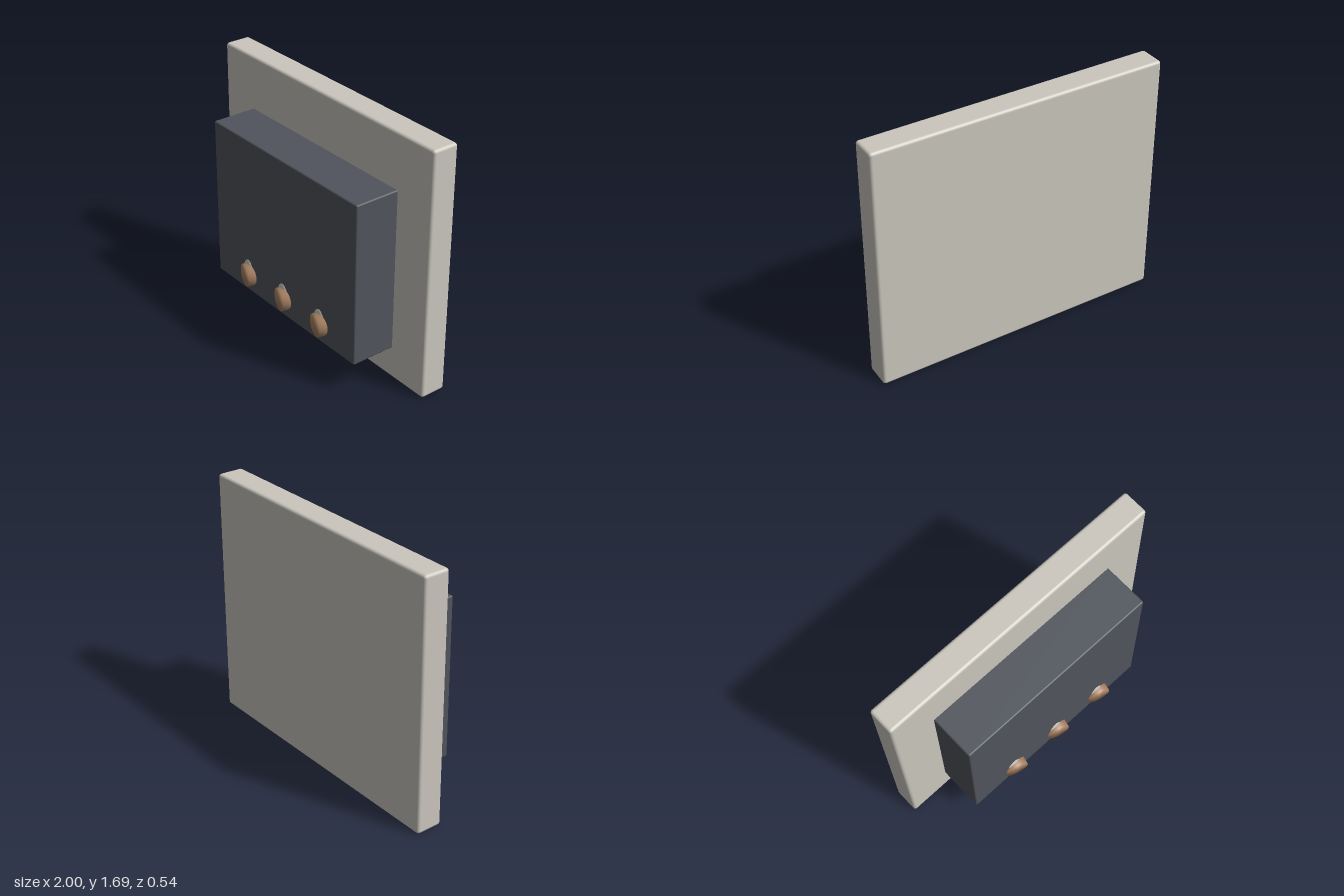
import * as THREE from 'three';
import { RoundedBoxGeometry } from 'three/addons/geometries/RoundedBoxGeometry.js';
import { mergeVertices } from 'three/addons/utils/BufferGeometryUtils.js';

const paint = (name, color) => {
  const m = new THREE.MeshStandardMaterial({ color });
  m.name = name;
  return m;
};

export function createModel() {
  const model = new THREE.Group();
  const stone = paint('warm grey', 0xcbc7be);
  const slate = paint('slate', 0x50545c);
  const copper = paint('copper brown', 0xa88262);

  const add = (name, geometry, material, x, y, z) => {
    const mesh = new THREE.Mesh(geometry, material);
    mesh.name = name;
    mesh.position.set(x, y, z);
    model.add(mesh);
    return mesh;
  };

  // Wall plate and the raised housing in front of it
  add('backPlate', new RoundedBoxGeometry(2, 1.69, 0.18, 3, 0.02), stone, 0, 0.845, -0.18);
  add('housing', new RoundedBoxGeometry(1.42, 1.104, 0.325, 2, 0.01), slate, 0, 0.772, 0.053);

  // Knob: a short disc with normals blended over its rim
  let knob = new THREE.CylinderGeometry(0.077, 0.077, 0.09, 32);
  knob.rotateX(Math.PI / 2);
  knob.deleteAttribute('normal');
  knob.deleteAttribute('uv');
  knob = mergeVertices(knob);
  knob.computeVertexNormals();

  // Pointer: a flattened bead rising behind each knob
  const pointer = new THREE.SphereGeometry(1, 24, 16);
  pointer.scale(0.056, 0.1, 0.022);

  for (const x of [-0.37, 0, 0.37]) {
    add('knob', knob, copper, x + 0.009, 0.344, 0.203).rotation.y = -Math.PI / 12;
    add('pointer', pointer, stone, x - 0.003, 0.358, 0.207);
  }
  return model;
}
